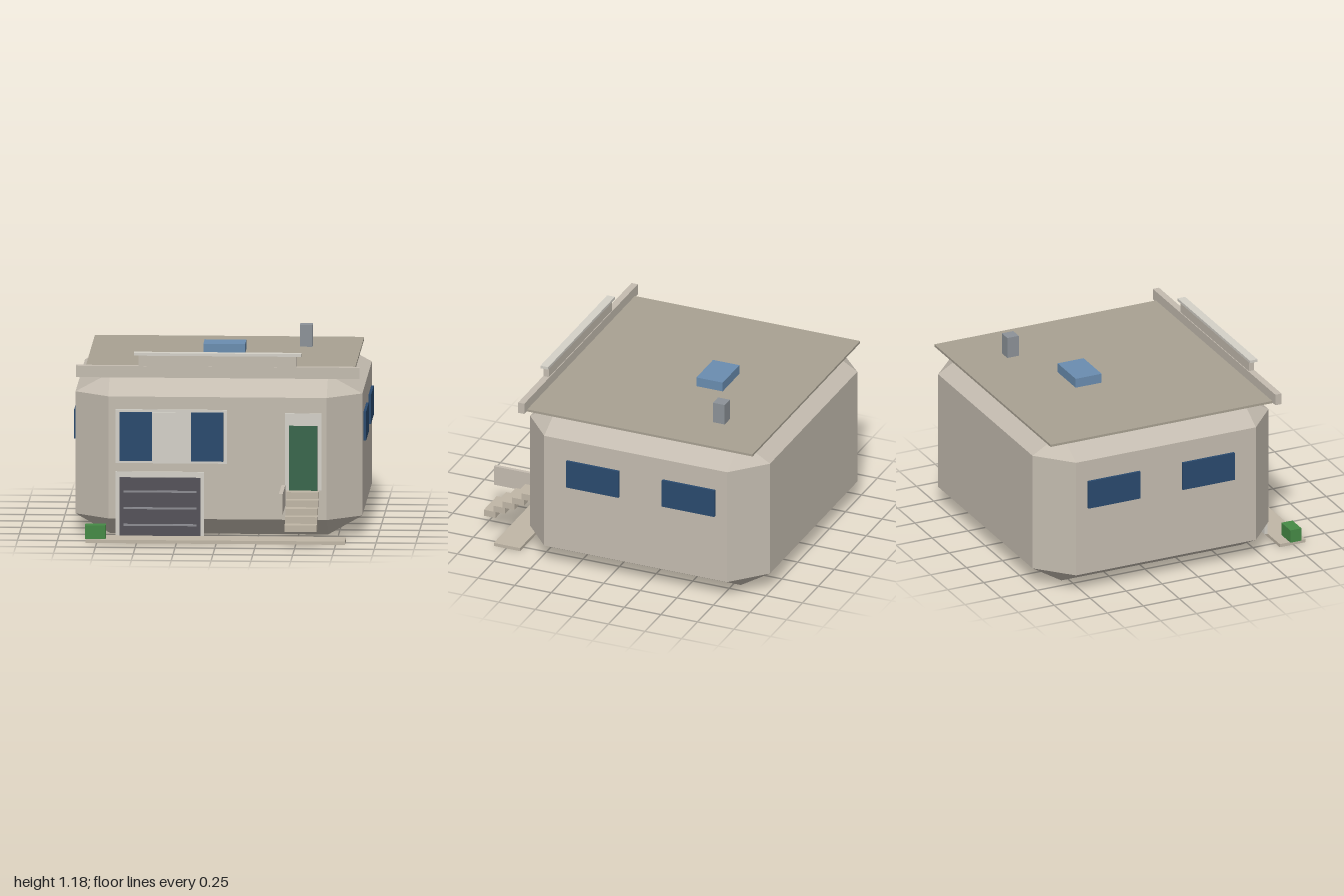
import * as THREE from 'three';
import { ConvexGeometry } from 'three/addons/geometries/ConvexGeometry.js';

const mat = (color) => new THREE.MeshStandardMaterial({ color, flatShading: true });
const wall = mat(0xc4bcb0), trim = mat(0xd4d1c8), roofing = mat(0xa8a192), stone = mat(0xc0b6a6);
const glass = mat(0x2a4a6e), skyGlass = mat(0x6a8db0), doorGreen = mat(0x3a664c);
const garageGrey = mat(0x55535a), ribGrey = mat(0x8c8c92), ventGrey = mat(0x8c9298), leaf = mat(0x468a46);

export function createModel() {
  const house = new THREE.Group();
  house.name = 'house';

  // Box given by its limits along each axis
  const box = (name, material, [x0, x1], [y0, y1], [z0, z1]) => {
    const mesh = new THREE.Mesh(new THREE.BoxGeometry(x1 - x0, y1 - y0, z1 - z0), material);
    mesh.position.set((x0 + x1) / 2, (y0 + y1) / 2, (z0 + z1) / 2);
    mesh.name = name;
    house.add(mesh);
    return mesh;
  };

  // Body: a block with every edge and corner bevelled
  const X = [-0.9, 0.9], Y = [0.003, 1.018], Z = [-1, 0.64];
  const xi = [-0.685, 0.685], yi = [0.125, 0.9], zi = [-0.8, 0.45];
  const corners = [];
  for (const i of [0, 1]) for (const j of [0, 1]) for (const k of [0, 1]) {
    corners.push(
      new THREE.Vector3(X[i], yi[j], zi[k]),
      new THREE.Vector3(xi[i], Y[j], zi[k]),
      new THREE.Vector3(xi[i], yi[j], Z[k]));
  }
  const body = new THREE.Mesh(new ConvexGeometry(corners), wall);
  body.name = 'body';
  house.add(body);

  // Roof, front parapet and rooftop fittings
  box('roof', roofing, [-0.845, 0.845], [1.016, 1.031], [-0.95, 0.6]);
  box('parapet', wall, [-0.89, 0.89], [1.02, 1.092], [0.59, 0.633]);
  box('upperParapet', wall, [-0.495, 0.495], [1.092, 1.16], [0.595, 0.632]);
  box('parapetCap', trim, [-0.525, 0.525], [1.16, 1.177], [0.587, 0.64]);
  box('skylight', skyGlass, [-0.132, 0.13], [1.03, 1.092], [-0.435, -0.255]);
  box('chimney', ventGrey, [0.46, 0.54], [1.03, 1.168], [-0.627, -0.547]);

  // Front window
  box('windowFrame', trim, [-0.64, 0.06], [0.48, 0.82], [0.635, 0.655]);
  for (const [a, b] of [[-0.615, -0.41], [-0.165, 0.037]])
    box('windowPane', glass, [a, b], [0.495, 0.805], [0.645, 0.668]);
  box('windowPanel', trim, [-0.41, -0.165], [0.495, 0.805], [0.645, 0.663]);

  // Garage door with raised ribs
  box('garageFrame', trim, [-0.64, -0.085], [0.02, 0.425], [0.635, 0.655]);
  box('garageDoor', garageGrey, [-0.615, -0.107], [0.02, 0.39], [0.645, 0.664]);
  for (const y of [0.09, 0.196, 0.302])
    box('garageRib', ribGrey, [-0.59, -0.13], [y - 0.006, y + 0.006], [0.655, 0.67]);

  // Entrance door
  box('doorFrame', trim, [0.425, 0.652], [0.315, 0.802], [0.635, 0.655]);
  box('frontDoor', doorGreen, [0.45, 0.627], [0.315, 0.725], [0.645, 0.667]);

  // Floating steps and their side wall
  for (let i = 0; i < 5; i++) {
    const y = 0.103 + i * 0.042, z = 0.977 - i * 0.0645;
    box('step', stone, [0.435, 0.638], [y, y + 0.042], [z - 0.08, z]);
  }
  box('stairWall', wall, [0.402, 0.426], [0.217, 0.347], [0.635, 1]);

  // Side windows
  for (const s of [-1, 1]) for (const [a, b] of [[-0.065, 0.295], [-0.72, -0.36]])
    box('sideWindow', glass, s > 0 ? [0.89, 0.916] : [-0.916, -0.89], [0.575, 0.76], [a, b]);

  // Path and planter
  box('path', stone, [-0.818, 0.808], [0, 0.021], [0.655, 0.835]);
  box('planter', leaf, [-0.825, -0.695], [0.02, 0.105], [0.725, 0.802]);

  return house;
}
